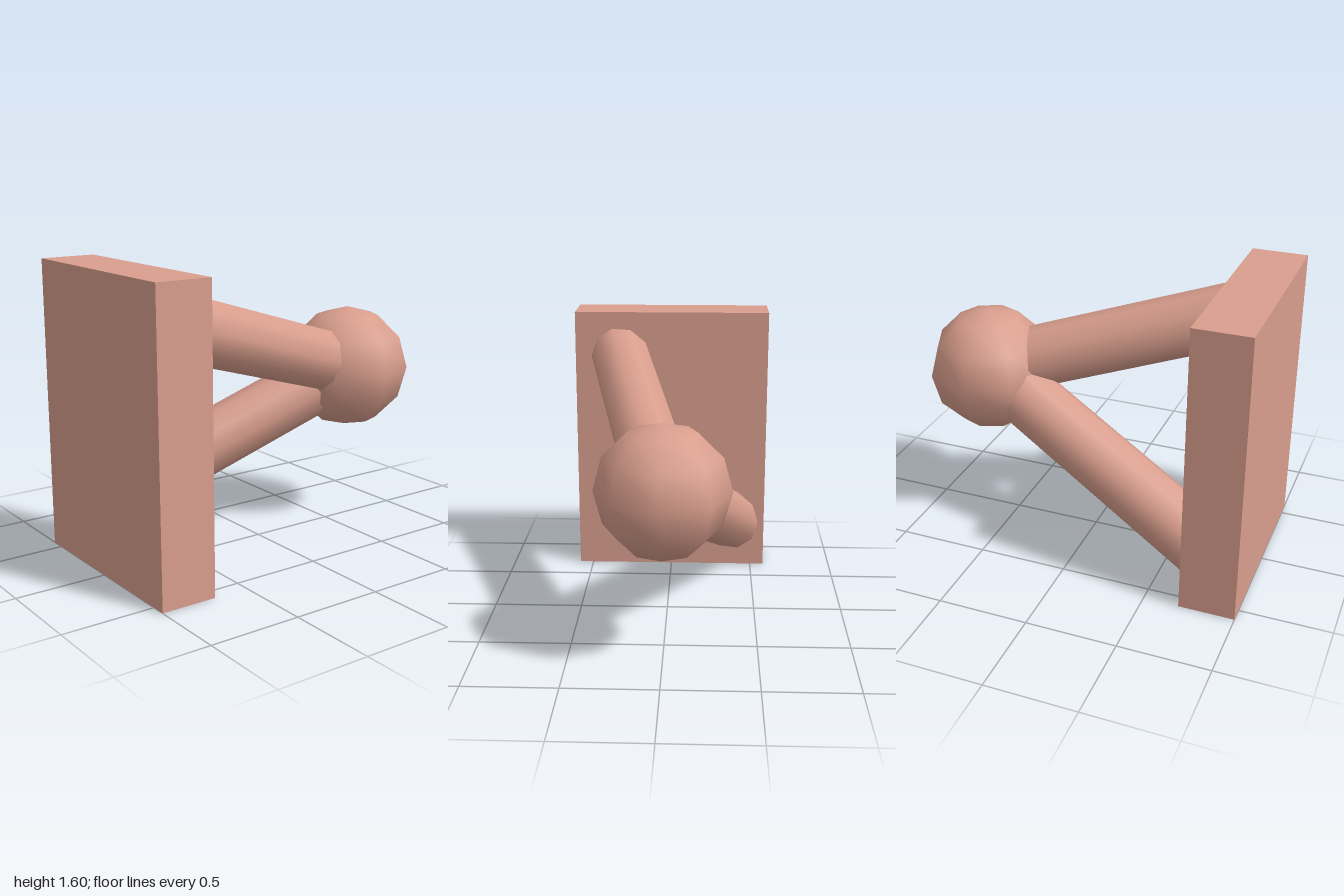
import * as THREE from 'three';

export function createModel() {
  const group = new THREE.Group();
  group.name = 'wallKnob';
  const clay = new THREE.MeshStandardMaterial({ color: 0xd99e8d });
  clay.name = 'terracotta';

  const add = (name, geometry) => {
    const mesh = new THREE.Mesh(geometry, clay);
    mesh.name = name;
    group.add(mesh);
    return mesh;
  };

  // Upright backing plate
  add('plate', new THREE.BoxGeometry(0.306, 1.604, 1.164)).position.set(-0.847, 0.802, 0);

  // Low-poly smooth ball
  const centre = new THREE.Vector3(0.645, 0.915, 0);
  add('ball', new THREE.SphereGeometry(0.353, 8, 6)).position.copy(centre);

  // Ten-sided struts running from inside the plate to the ball's centre
  const addStrut = (name, y, z) => {
    const foot = new THREE.Vector3(-0.694, y, z);
    const dir = foot.clone().sub(centre).normalize();
    const length = foot.distanceTo(centre) + 0.14;
    const side = new THREE.Vector3(-dir.z, 0, dir.x).normalize();
    const up = new THREE.Vector3().crossVectors(dir, side);
    const strut = add(name, new THREE.CylinderGeometry(0.176, 0.176, length, 10));
    strut.quaternion.setFromRotationMatrix(new THREE.Matrix4().makeBasis(up, dir, side));
    strut.position.copy(centre).addScaledVector(dir, length / 2);
  };
  addStrut('upperStrut', 1.325, 0.305);
  addStrut('lowerStrut', 0.298, -0.363);

  return group;
}
